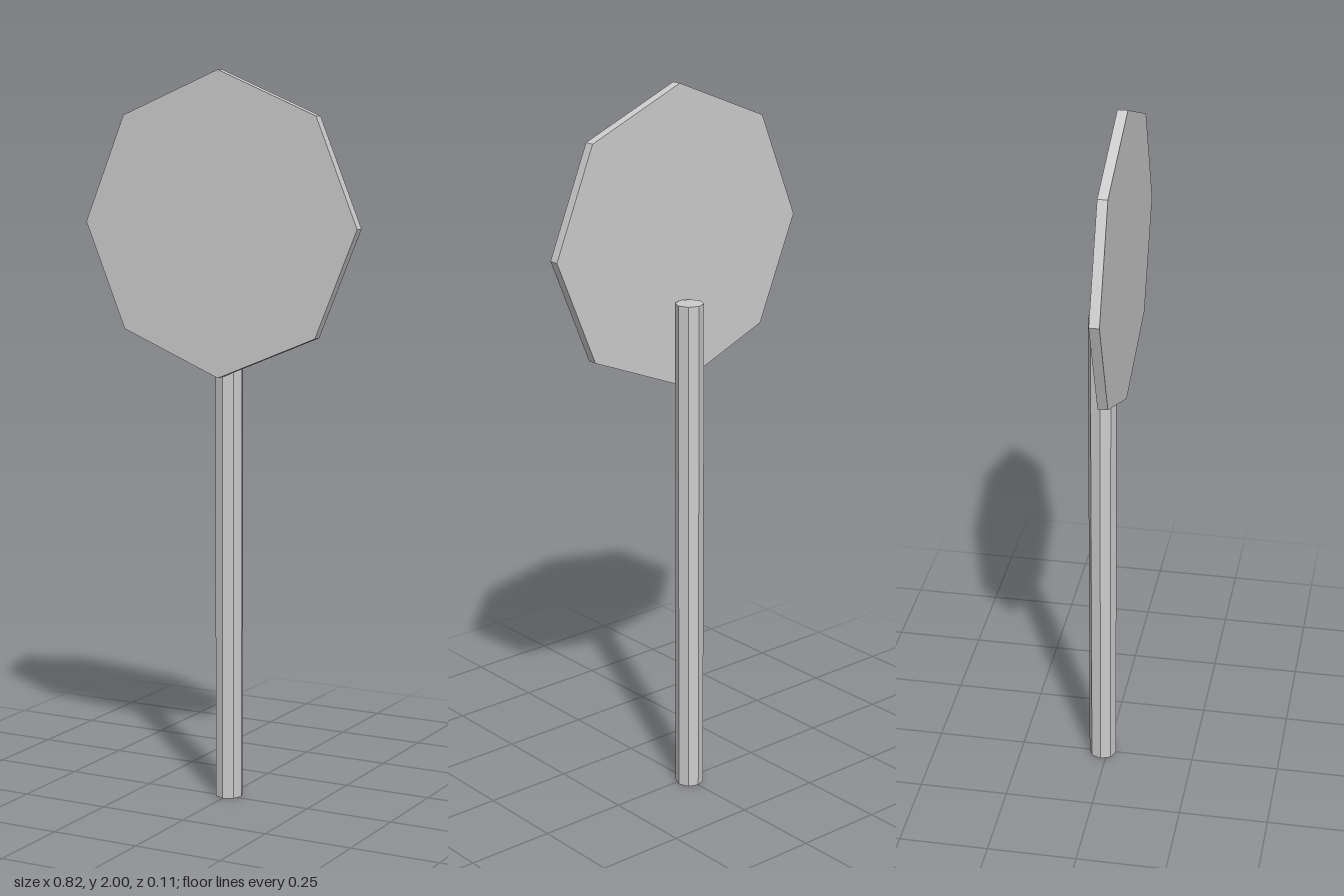
import * as THREE from 'three';

const SIDES = 8;

export function createModel() {
  const group = new THREE.Group();
  const material = new THREE.MeshStandardMaterial({ color: 0xcccccc, flatShading: true });

  // Eight-sided prism, added to the group under a part name
  const addPrism = (name, radius, length) => {
    const mesh = new THREE.Mesh(new THREE.CylinderGeometry(radius, radius, length, SIDES), material);
    mesh.name = name;
    group.add(mesh);
    return mesh;
  };

  // Upright pole, standing on the ground
  const poleHeight = 1.416, poleRadius = 0.039, poleZ = -0.014;
  addPrism('pole', poleRadius, poleHeight).position.set(0, poleHeight / 2, poleZ);

  // Octagonal sign plate, resting on the front of the pole with a corner up
  const plateRadius = 0.411, plateDepth = 0.027;
  const plate = addPrism('signPlate', plateRadius, plateDepth);
  plate.rotation.x = Math.PI / 2;
  plate.position.set(0, 2 - plateRadius, poleZ + poleRadius + plateDepth / 2);

  return group;
}
